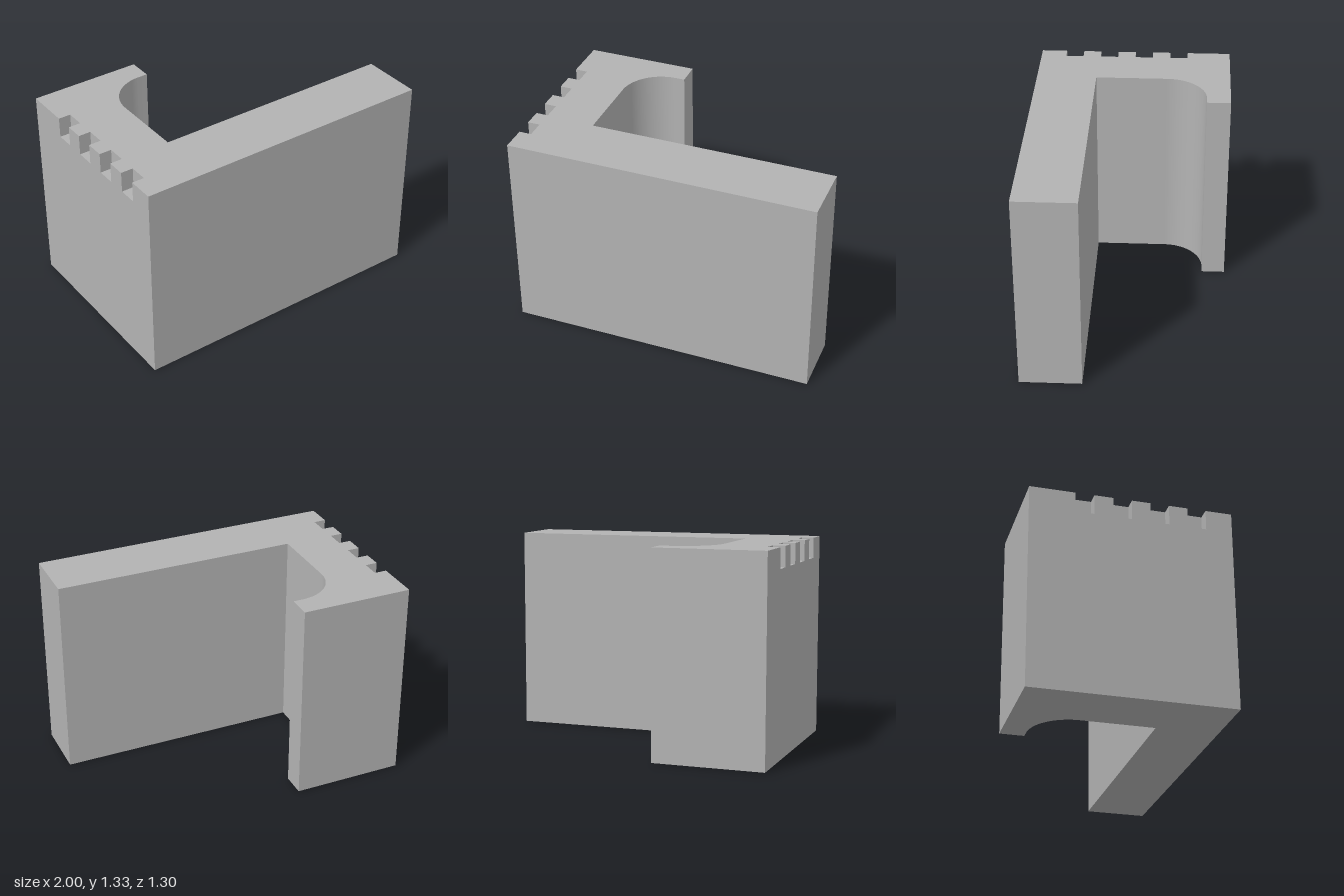
import * as THREE from 'three';
import { toCreasedNormals } from 'three/addons/utils/BufferGeometryUtils.js';

const H = 1.333, BACK = -0.65, FRONT = 0.65;
const COMB_X = -0.92;                       // depth plane of the notches
const NOTCH_W = 0.12, NOTCH_H = 0.133;

export function createModel() {
  const group = new THREE.Group();
  group.name = 'notchedBracket';
  const grey = new THREE.MeshStandardMaterial({ color: 0xb3b3b3 });
  grey.name = 'grey';

  const add = (name, geometry) => {
    const mesh = new THREE.Mesh(toCreasedNormals(geometry, 0.5), grey);
    mesh.name = name;
    group.add(mesh);
  };

  // Body: long front wall, side wall and filleted back lip, drawn in plan (x, z)
  const r = 0.267;
  const plan = new THREE.Shape();
  plan.moveTo(COMB_X, BACK);
  plan.lineTo(-0.27, BACK);
  plan.lineTo(-0.27, -0.493);
  plan.lineTo(-0.6 + r, -0.493);
  plan.absarc(-0.6 + r, -0.493 + r, r, -Math.PI / 2, -Math.PI, true);
  plan.lineTo(-0.6, 0.25);
  plan.lineTo(1, 0.25);
  plan.lineTo(1, FRONT);
  plan.lineTo(COMB_X, FRONT);
  plan.closePath();
  const body = new THREE.ExtrudeGeometry(plan, { depth: H, bevelEnabled: false, curveSegments: 32 });
  body.rotateX(Math.PI / 2).translate(0, H, 0);
  add('body', body);

  // Outer strip of the side wall with notches in its top edge, drawn in (z, y)
  const comb = new THREE.Shape();
  comb.moveTo(FRONT, 0);
  comb.lineTo(FRONT, H);
  for (const z of [0.48, 0.24, 0, -0.24]) {
    comb.lineTo(z, H);
    comb.lineTo(z, H - NOTCH_H);
    comb.lineTo(z - NOTCH_W, H - NOTCH_H);
    comb.lineTo(z - NOTCH_W, H);
  }
  comb.lineTo(BACK, H);
  comb.lineTo(BACK, 0);
  comb.closePath();
  const strip = new THREE.ExtrudeGeometry(comb, { depth: 1 + COMB_X, bevelEnabled: false });
  strip.rotateY(-Math.PI / 2).translate(COMB_X, 0, 0);
  add('notchedStrip', strip);

  return group;
}
